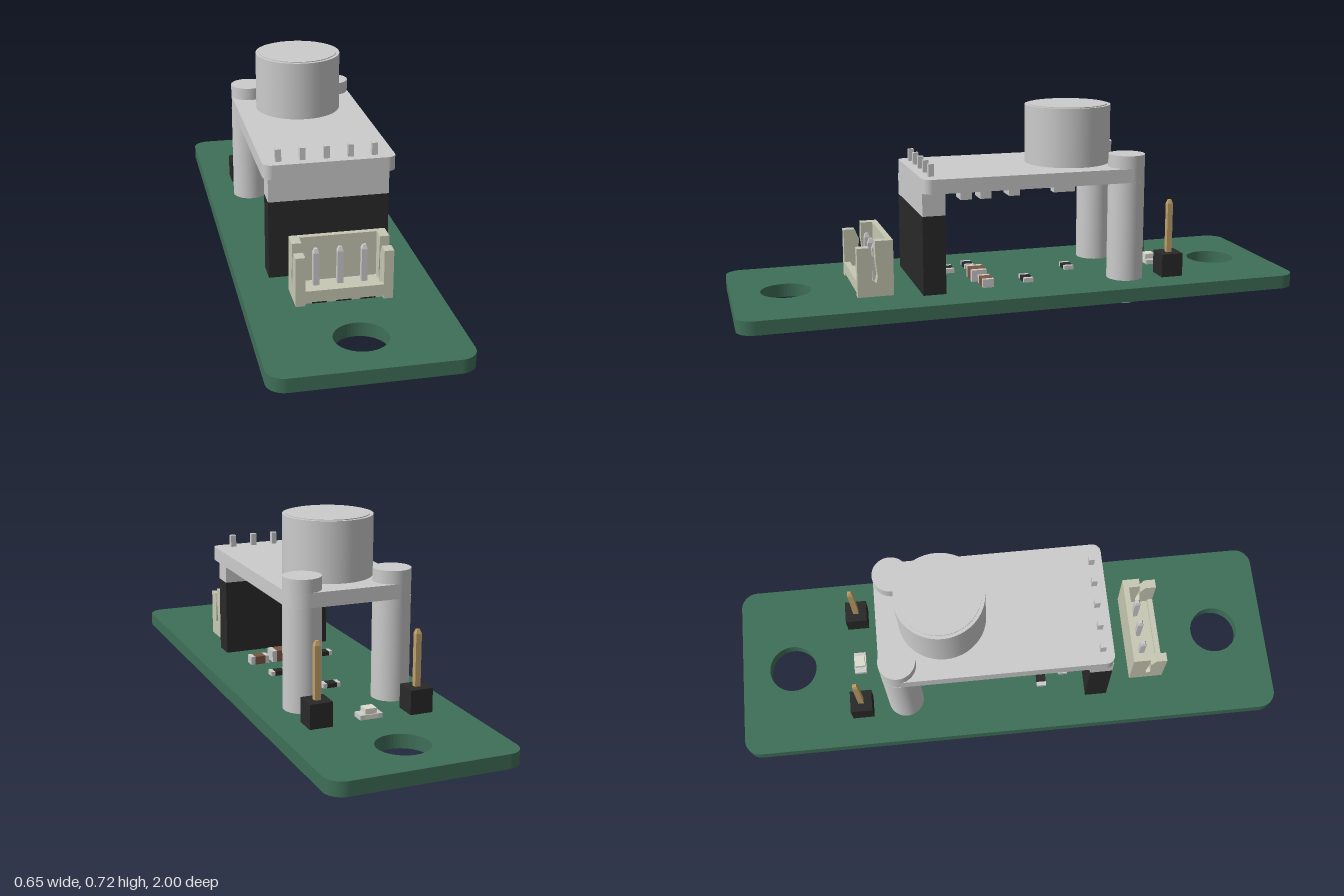
import * as THREE from 'three';

const mat = (color) => new THREE.MeshStandardMaterial({ color });
const GREY = mat(0xcccccc), GREEN = mat(0x3f6f58), BLACK = mat(0x292929);
const CREAM = mat(0xc8c8b4), GOLD = mat(0xc0a068), BROWN = mat(0x7a5540), WHITE = mat(0xdddcd0);

const BOARD_TOP = 0.103, BOARD_BOTTOM = 0.055;

export function createModel() {
  const root = new THREE.Group();

  const add = (name, geometry, material, parent = root) => {
    const mesh = new THREE.Mesh(geometry, material);
    mesh.name = name;
    parent.add(mesh);
    return mesh;
  };
  const group = (name) => {
    const g = new THREE.Group();
    g.name = name;
    root.add(g);
    return g;
  };
  // Box given by its ranges on each axis
  const box = (name, x0, x1, y0, y1, z0, z1, material, parent) => {
    const m = add(name, new THREE.BoxGeometry(x1 - x0, y1 - y0, z1 - z0), material, parent);
    m.position.set((x0 + x1) / 2, (y0 + y1) / 2, (z0 + z1) / 2);
    return m;
  };
  const cylinder = (name, r, x, z, y0, y1, material, parent) => {
    const m = add(name, new THREE.CylinderGeometry(r, r, y1 - y0, 48), material, parent);
    m.position.set(x, (y0 + y1) / 2, z);
    return m;
  };
  // Square pin with tapered ends where asked
  const pin = (name, x, z, y0, y1, w, material, parent, taperTop = false) => {
    const t = 0.015, top = taperTop ? y1 - t : y1;
    box(name, x - w / 2, x + w / 2, y0 + t, top, z - w / 2, z + w / 2, material, parent);
    const tip = (y, rTop, rBottom) => {
      const g = new THREE.CylinderGeometry(rTop, rBottom, t, 4).toNonIndexed();
      g.rotateY(Math.PI / 4);
      g.computeVertexNormals();
      add(name + 'Tip', g, material, parent).position.set(x, y, z);
    };
    tip(y0 + t / 2, w * Math.SQRT1_2, w * 0.35);
    if (taperTop) tip(y1 - t / 2, w * 0.35, w * Math.SQRT1_2);
  };
  // Flat plate with rounded corners and round holes
  const plate = (name, hw, zBack, zFront, rBack, rFront, y0, y1, holes, material, parent) => {
    const s = new THREE.Shape(), b = -zFront, t = -zBack, H = Math.PI / 2;
    s.absarc(hw - rFront, b + rFront, rFront, -H, 0);
    s.absarc(hw - rBack, t - rBack, rBack, 0, H);
    s.absarc(-hw + rBack, t - rBack, rBack, H, Math.PI);
    s.absarc(-hw + rFront, b + rFront, rFront, Math.PI, 3 * H);
    s.closePath();
    for (const [z, r] of holes) {
      s.holes.push(new THREE.Path().absarc(0, -z, r, 0, Math.PI * 2, true));
    }
    const g = new THREE.ExtrudeGeometry(s, { depth: y1 - y0, bevelEnabled: false, curveSegments: 24 });
    g.rotateX(-Math.PI / 2);
    add(name, g, material, parent).position.y = y0;
  };

  // Main circuit board with two mounting holes
  plate('mainBoard', 0.323, -1, 1, 0.06, 0.06, BOARD_BOTTOM, BOARD_TOP,
    [[-0.81, 0.088], [0.81, 0.088]], GREEN);

  // Raised module: board, round capsule, small parts underneath
  const module = group('micModule');
  plate('moduleBoard', 0.226, -0.453, 0.365, 0.065, 0.03, 0.46, 0.51, [], GREY, module);
  cylinder('micCapsule', 0.155, 0, -0.22, 0.51, 0.72, GREY, module);
  cylinder('capsuleFace', 0.143, 0, -0.22, 0.715, 0.723, GREY, module);
  const undersideParts = [
    [-0.12, 0.2, 0.07, 0.04], [0, 0.2, 0.07, 0.04], [0.12, 0.2, 0.07, 0.04],
    [-0.12, 0.13, 0.07, 0.04], [0, 0.13, 0.07, 0.04], [0.12, 0.13, 0.07, 0.04],
    [-0.12, 0.02, 0.07, 0.04], [0.1, 0.02, 0.07, 0.04],
    [-0.1, -0.17, 0.04, 0.08], [0.1, -0.17, 0.04, 0.08],
  ];
  for (const [x, z, w, d] of undersideParts) {
    box('undersideComponent', x - w / 2, x + w / 2, 0.42, 0.461, z - d / 2, z + d / 2, GREY, module);
  }
  box('undersideChip', -0.06, 0.06, 0.435, 0.461, -0.07, -0.01, GREY, module);

  // Support posts with caps above and pegs below
  for (const side of [-1, 1]) {
    const post = group(side > 0 ? 'leftPost' : 'rightPost');
    const x = side * 0.162, z = -0.388;
    cylinder('postBody', 0.065, x, z, BOARD_TOP, 0.46, GREY, post);
    cylinder('postCap', 0.065, x, z, 0.51, 0.555, GREY, post);
    cylinder('postPeg', 0.032, x, z, 0.01, BOARD_BOTTOM, GREY, post);
  }

  // Five-way socket and the module's pin header
  const socket = group('moduleSocket');
  box('socketBody', -0.212, 0.2, BOARD_TOP, 0.38, 0.285, 0.365, BLACK, socket);
  box('headerSpacer', -0.212, 0.2, 0.38, 0.46, 0.285, 0.365, GREY, socket);
  for (let i = 0; i < 5; i++) {
    const x = -0.171 + i * 0.082;
    box('headerPin', x - 0.01, x + 0.01, 0.51, 0.553, 0.315, 0.335, GREY, socket);
    pin('socketPin', x, 0.325, 0.007, BOARD_BOTTOM, 0.02, GOLD, socket);
  }

  // Cable connector: open-fronted shell with slotted cheeks and three pins
  const connector = group('cableConnector');
  box('connectorFloor', -0.13, 0.13, 0.115, 0.14, 0.46, 0.585, CREAM, connector);
  box('connectorSkirt', -0.13, 0.13, BOARD_TOP, 0.115, 0.46, 0.57, CREAM, connector);
  box('connectorBackWall', -0.13, 0.13, 0.14, 0.298, 0.46, 0.48, CREAM, connector);
  box('connectorFrontLip', -0.13, 0.13, 0.14, 0.155, 0.565, 0.585, CREAM, connector);
  const cheek = new THREE.Shape([
    [0.46, BOARD_TOP], [0.585, BOARD_TOP], [0.585, 0.275], [0.545, 0.275], [0.53, 0.24],
    [0.535, 0.16], [0.52, 0.15], [0.515, 0.175], [0.522, 0.235], [0.522, 0.298], [0.46, 0.298],
  ].map(([z, y]) => new THREE.Vector2(z, y)));
  const cheekGeometry = new THREE.ExtrudeGeometry(cheek, { depth: 0.032, bevelEnabled: false });
  cheekGeometry.rotateY(-Math.PI / 2);
  for (const side of [-1, 1]) {
    add('connectorCheek', cheekGeometry, CREAM, connector).position.x = side > 0 ? 0.162 : -0.13;
  }
  for (const x of [-0.081, 0, 0.081]) {
    pin('connectorPin', x, 0.51, 0.005, 0.27, 0.02, GREY, connector, true);
    box('connectorSlot', x - 0.025, x + 0.025, BOARD_TOP, 0.114, 0.565, 0.572, BLACK, connector);
  }

  // Single-pin test headers
  for (const side of [-1, 1]) {
    const header = group(side > 0 ? 'leftTestHeader' : 'rightTestHeader');
    const x = side * 0.178, z = -0.552;
    box('testHeaderBase', x - 0.04, x + 0.04, BOARD_TOP, 0.187, z - 0.04, z + 0.04, BLACK, header);
    pin('testHeaderPin', x, z, 0.01, 0.382, 0.02, GOLD, header, true);
  }

  // Surface-mounted parts: body with a metal cap on each end
  const chip = (name, x, z, w, d, h, material) => {
    const g = group(name), e = w * 0.22, y = BOARD_TOP;
    box(name + 'Body', x - w / 2 + e, x + w / 2 - e, y, y + h, z - d / 2, z + d / 2, material, g);
    for (const s of [-1, 1]) {
      const c = x + s * (w / 2 - e / 2);
      box(name + 'Cap', c - e / 2, c + e / 2, y, y + h, z - d / 2, z + d / 2, GREY, g);
    }
  };
  chip('capacitor', 0.04, 0.135, 0.08, 0.055, 0.042, BROWN);
  chip('capacitor', 0.13, 0.125, 0.07, 0.04, 0.03, BROWN);
  chip('resistor', -0.09, 0.21, 0.065, 0.035, 0.016, BLACK);
  chip('resistor', -0.13, 0.125, 0.065, 0.035, 0.016, BLACK);
  chip('resistor', 0.11, -0.03, 0.065, 0.035, 0.016, BLACK);
  chip('resistor', -0.01, -0.225, 0.065, 0.035, 0.016, BLACK);
  chip('indicatorLight', -0.005, -0.553, 0.08, 0.045, 0.016, WHITE);
  box('indicatorLens', -0.025, 0.015, 0.115, 0.138, -0.572, -0.534, WHITE);

  return root;
}
